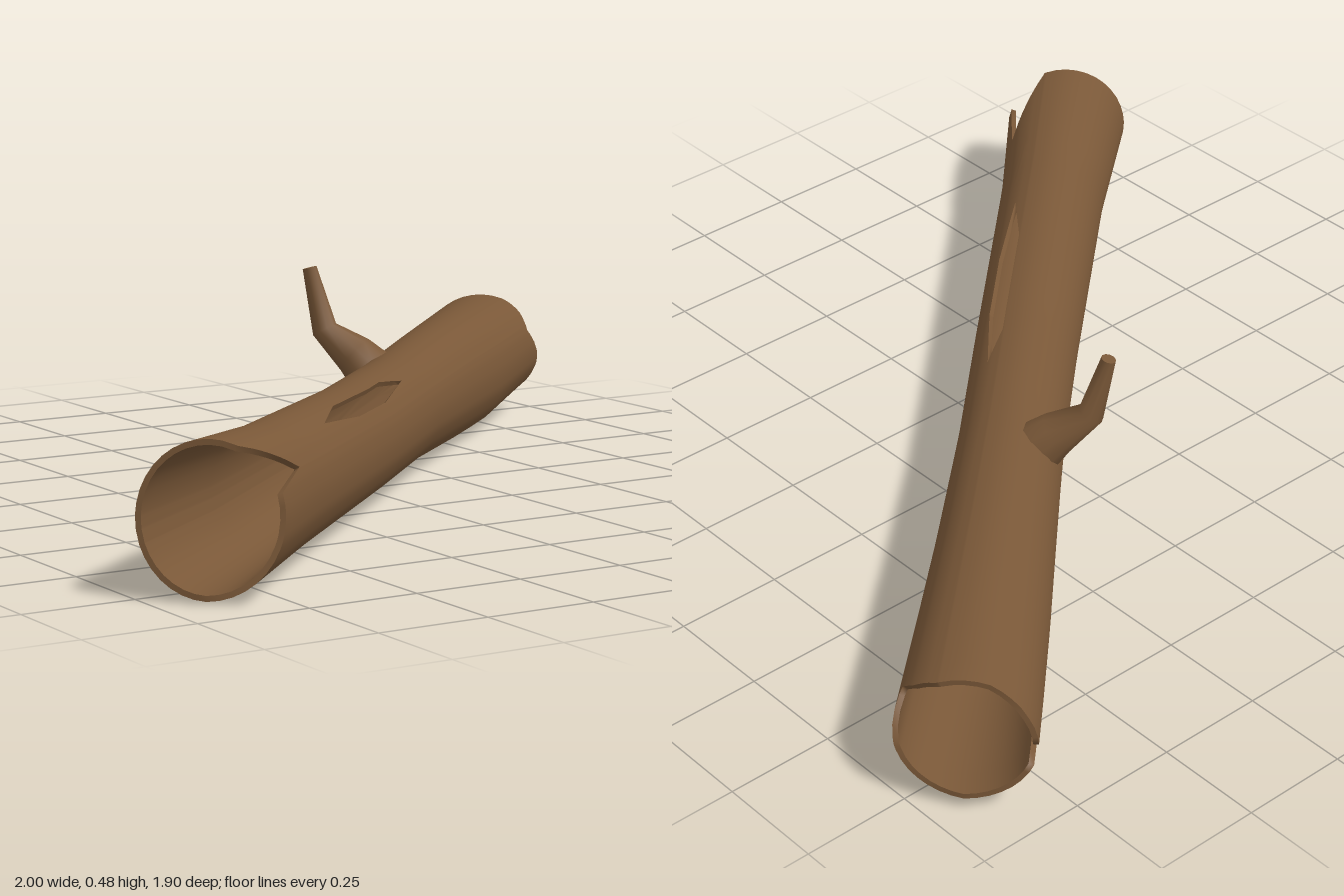
import * as THREE from 'three';
import { mergeGeometries, mergeVertices } from 'three/addons/utils/BufferGeometryUtils.js';

const WALL = 0.012;
// The log lies diagonally: ALONG is its axis, SIDE its horizontal normal
const ALONG = new THREE.Vector3(0.728, 0, -0.685);
const SIDE = new THREE.Vector3(0.685, 0, 0.728);

// Cross-sections: distance along axis, centre (side, height), radii (side, height)
const SECTIONS = [
  [-1.24, 0.012, 0.170, 0.150, 0.160],
  [-0.86, 0.017, 0.158, 0.128, 0.143],
  [-0.20, 0.022, 0.150, 0.122, 0.130],
  [0.20, 0.020, 0.152, 0.120, 0.128],
  [0.60, 0.016, 0.150, 0.131, 0.142],
  [0.85, 0.015, 0.150, 0.140, 0.147],
  [1.24, 0.015, 0.165, 0.152, 0.137],
];
// Edge outlines as [angle in degrees, distance along axis]; 90 is the top, 360 the front side
const FRONT_END = [[68, -1.225], [180, -1.24], [270, -1.255], [360, -1.205], [380, -1.195], [391, -1.005], [428, -1.225]];
const BACK_END = [[68, 1.215], [110, 1.215], [150, 1.24], [177, 1.245], [188, 0.72], [201, 1.245], [270, 1.26],
  [345, 1.22], [360, 1.2], [385, 1.15], [405, 1.19], [428, 1.215]];
const HOLE_START = [[68, -0.5], [405, -0.43], [415, -0.66], [428, -0.5]];
const HOLE_END = [[68, -0.1], [405, -0.2], [415, 0.02], [428, -0.1]];

// Piecewise linear lookup of column c
function lookup(table, x, c = 1) {
  let i = 1;
  while (i < table.length - 1 && table[i][0] < x) i++;
  const a = table[i - 1], b = table[i];
  const k = THREE.MathUtils.clamp((x - a[0]) / (b[0] - a[0]), -0.1, 1.1);
  return a[c] + (b[c] - a[c]) * k;
}

// Point on the log wall
function wall(angle, t, inset) {
  const [cs, cy, rs, ry] = [1, 2, 3, 4].map((c) => lookup(SECTIONS, t, c));
  const a = THREE.MathUtils.degToRad(angle);
  const p = ALONG.clone().multiplyScalar(t).addScaledVector(SIDE, cs + (rs - inset) * Math.cos(a));
  p.y = cy + (ry - inset) * Math.sin(a);
  return p;
}

// Surface patch over two parameter lists
function grid(us, vs, point, flip = false) {
  const pos = [], idx = [], n = vs.length;
  us.forEach((u) => vs.forEach((v) => pos.push(...point(u, v).toArray())));
  for (let i = 0; i < us.length - 1; i++) {
    for (let j = 0; j < n - 1; j++) {
      const a = i * n + j, b = a + 1, c = a + n, d = c + 1;
      idx.push(...(flip ? [a, c, b, b, c, d] : [a, b, c, b, d, c]));
    }
  }
  const g = new THREE.BufferGeometry();
  g.setAttribute('position', new THREE.Float32BufferAttribute(pos, 3));
  g.setIndex(idx);
  return g;
}

function smooth(parts) {
  const g = mergeVertices(mergeGeometries(parts), 1e-5);
  g.computeVertexNormals();
  return g;
}

const steps = (n) => Array.from({ length: n + 1 }, (_, i) => i / n);

export function createModel() {
  const model = new THREE.Group();
  model.name = 'hollowLog';
  const bark = new THREE.MeshStandardMaterial({ color: 0x7a5838, side: THREE.DoubleSide });
  bark.name = 'barkBrown';
  const add = (name, geometry) => {
    const mesh = new THREE.Mesh(geometry, bark);
    mesh.name = name;
    model.add(mesh);
  };

  // Angles every ten degrees plus the corners of notches and hole
  const angles = [68, 177, 188, 201, 345, 385, 391, 405, 415, 428];
  for (let a = 70; a <= 420; a += 10) if (!angles.includes(a)) angles.push(a);
  angles.sort((a, b) => a - b);
  const solid = angles.filter((a) => a <= 405);
  const holed = angles.filter((a) => a >= 405);

  // Wall shells: before, beside and behind the hole
  const shell = (inset, flip) => {
    const run = (us, from, to, n) => grid(us, steps(n), (a, k) =>
      wall(a, THREE.MathUtils.lerp(lookup(from, a), lookup(to, a), k), inset), flip);
    return smooth([
      run(angles, FRONT_END, HOLE_START, 14),
      run(solid, HOLE_START, HOLE_END, 8),
      run(angles, HOLE_END, BACK_END, 22),
    ]);
  };
  add('outerWall', shell(0, false));
  add('innerWall', shell(WALL, true));

  // Thin edges joining outer and inner wall
  const rim = (us, edge, flip) => smooth([grid(us, [0, WALL], (a, inset) => wall(a, lookup(edge, a), inset), flip)]);
  add('frontRim', rim(angles, FRONT_END, true));
  add('backRim', rim(angles, BACK_END, false));
  add('holeStartRim', rim(holed, HOLE_START, false));
  add('holeEndRim', rim(holed, HOLE_END, true));
  for (const a of [405, 428]) {
    add('holeSideRim', smooth([grid(steps(8), [0, WALL], (k, inset) =>
      wall(a, THREE.MathUtils.lerp(lookup(HOLE_START, a), lookup(HOLE_END, a), k), inset), a === 405)]));
  }

  // Bent branch stub: centre and radius of each ring
  const rings = [
    [0.185, 0.225, -0.24, 0.062],
    [0.155, 0.27, -0.275, 0.05],
    [0.105, 0.328, -0.33, 0.031],
    [0.08, 0.475, -0.357, 0.017],
  ];
  const centres = rings.map((r) => new THREE.Vector3(r[0], r[1], r[2]));
  const up = new THREE.Vector3(0, 1, 0);
  const ringPoint = (i, k, scale = 1) => {
    const dir = centres[Math.min(i + 1, 3)].clone().sub(centres[Math.max(i - 1, 0)]).normalize();
    const a = k * Math.PI * 2, r = rings[i][3] * scale;
    return new THREE.Vector3(Math.cos(a) * r, 0, Math.sin(a) * r)
      .applyQuaternion(new THREE.Quaternion().setFromUnitVectors(up, dir)).add(centres[i]);
  };
  add('branch', smooth([grid([0, 1, 2, 3], steps(10), (i, k) => ringPoint(i, k), false)]));
  add('branchTip', smooth([grid([1, 0.01], steps(10), (s, k) => ringPoint(3, k, s), false)]));

  return model;
}
